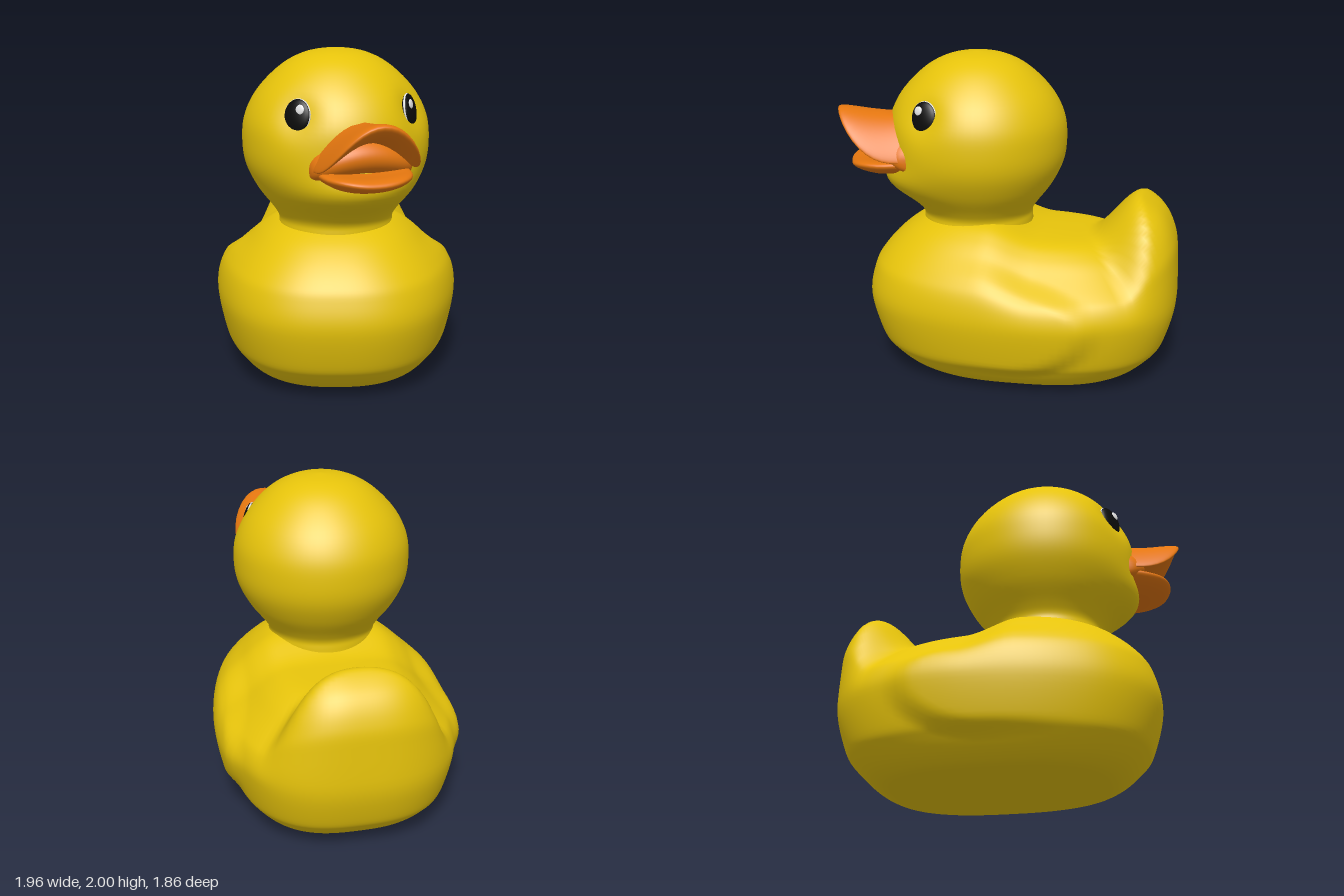
import * as THREE from 'three';
import { mergeVertices } from 'three/addons/utils/BufferGeometryUtils.js';

const material = (name, color) => {
  const m = new THREE.MeshStandardMaterial({ color });
  m.name = name;
  return m;
};
const step = THREE.MathUtils.smoothstep;
const bell = (d, w) => Math.exp(-(d * d) / (w * w));

// Moves every vertex by a rule, then welds and smooths the surface
function sculpt(geometry, rule) {
  const p = geometry.attributes.position;
  const v = new THREE.Vector3();
  for (let i = 0; i < p.count; i++) {
    rule(v.fromBufferAttribute(p, i));
    p.setXYZ(i, v.x, v.y, v.z);
  }
  geometry.deleteAttribute('uv');
  geometry.deleteAttribute('normal');
  const welded = mergeVertices(geometry, 1e-4);
  welded.computeVertexNormals();
  return welded;
}

function lathe(points, steps, sides) {
  const curve = new THREE.SplineCurve(points.map(([r, y]) => new THREE.Vector2(r, y)));
  const profile = curve.getPoints(steps);
  profile.forEach((q) => { q.x = Math.max(0, q.x); });
  return new THREE.LatheGeometry(profile, sides);
}

// Turns a round plan into a fuller, squarer oval
function squareOff(v, n) {
  const r = Math.hypot(v.x, v.z);
  if (r < 1e-6) return;
  const k = (Math.abs(v.x / r) ** n + Math.abs(v.z / r) ** n) ** (-1 / n);
  v.x *= k;
  v.z *= k;
}

// Body: local +x is forward; has tail, hollow back and wings that fade forward
function bodyGeometry() {
  const profile = [[0, 0], [0.3, 0], [0.62, 0.006], [0.76, 0.05], [0.88, 0.15], [0.94, 0.24], [1, 0.47],
    [0.97, 0.64], [0.92, 0.73], [0.82, 0.83], [0.7, 0.91], [0.54, 0.965], [0.3, 0.98], [0, 0.98]];
  return sculpt(lathe(profile, 80, 120), (v) => {
    squareOff(v, v.x < 0 ? 2.75 : 2.5);
    v.x *= 0.98;
    v.z *= 0.72;
    const upper = step(v.y, 0.4, 0.85);
    const rear = step(-v.x - 0.8 * v.z * v.z, 0.42, 0.68);
    const hollow = step(-v.x, -0.2, 0.15) * (1 - rear);
    const tail = rear * Math.exp(-(((v.z - 0.04) / 0.52) ** 4));
    const neck = bell(Math.hypot(v.x - 0.29, v.z), 0.45);
    const reach = Math.hypot(Math.min(0, v.x) / 0.57, (v.y - 0.48) / 0.36);
    const wing = step(1 - reach, 0, 0.3) * (1 - step(v.x, -0.2, 0.6));
    v.z *= 1 - 0.1 * step(v.y, 0.6, 0.95) * (1 - rear);
    v.z += Math.sign(v.z) * 0.045 * wing * step(Math.abs(v.z), 0.3, 0.5);
    v.x -= 0.06 * tail * step(v.y, 0.5, 0.85);
    v.y += upper * (0.22 * tail - 0.09 * hollow + 0.035 * neck);
  });
}

const EYE_ANGLE = 0.76, EYE_Y = 1.665, EYE_R = 0.485;

// Head and neck: local +x is forward; has cheeks and shallow eye sockets
function headGeometry() {
  const profile = [[0.35, 0.88], [0.345, 0.95], [0.345, 1], [0.38, 1.06], [0.47, 1.18], [0.538, 1.32],
    [0.557, 1.46], [0.54, 1.61], [0.462, 1.76], [0.32, 1.9], [0.17, 1.975], [0, 2]];
  return sculpt(lathe(profile, 56, 80), (v) => {
    const r = Math.hypot(v.x, v.z);
    if (r < 1e-6) return;
    const forward = Math.max(0, v.x / r) ** 4;
    let push = 0.085 * forward * bell(v.y - 1.21, 0.12);
    for (const s of [-1, 1]) {
      const d = Math.hypot(v.x - 0.525 * Math.cos(EYE_ANGLE), v.y - EYE_Y, v.z - s * 0.525 * Math.sin(EYE_ANGLE));
      push -= 0.04 * bell(d, 0.13);
    }
    v.x *= 1 + push / r;
    v.z *= 1 + push / r;
  });
}

// Beak half: a rounded plate in plan, bent upward by a lift rule
function beakGeometry(centre, length, width, thickness, lift) {
  return sculpt(new THREE.SphereGeometry(1, 48, 28), (v) => {
    const r = Math.hypot(v.x, v.z);
    const spread = r > 1e-4 ? r ** -0.4 : 1;
    v.x *= spread;
    v.z *= spread;
    squareOff(v, 2.6);
    v.x = centre + v.x * length;
    v.z *= width;
    v.y = v.y * thickness + lift(v.x, v.z / width);
  });
}

// Mouth: an arched mass that fills the beak root and rounds its corners
function mouthGeometry() {
  return sculpt(new THREE.SphereGeometry(1, 48, 36), (v) => {
    const full = Math.max(1e-3, 1 - v.z * v.z) ** -0.2;
    v.set(0.42 + 0.2 * v.x * full, 0.125 * v.y * full + 1.372 + 0.075 * (1 - v.z * v.z), 0.305 * v.z);
  });
}

export function createModel() {
  const yellow = material('yellow', 0xe6c30b);
  const orange = material('orange', 0xe4760f);
  const black = material('black', 0x0b0b0b);
  const white = material('white', 0xf0f0f0);

  const model = new THREE.Group();
  model.name = 'duck';
  const add = (parent, name, geometry, mat) => {
    const mesh = new THREE.Mesh(geometry, mat);
    mesh.name = name;
    parent.add(mesh);
    return mesh;
  };

  // Body points diagonally
  const body = add(model, 'body', bodyGeometry(), yellow);
  body.position.set(-0.04, 0, 0);
  body.rotation.y = -Math.PI / 4;

  // Head is turned a little from the body
  const head = new THREE.Group();
  head.name = 'headGroup';
  head.position.set(0.167, 0, 0.213);
  head.rotation.y = -0.485;
  model.add(head);
  add(head, 'head', headGeometry(), yellow);

  // Open beak with arched upper lip
  add(head, 'upperBeak', beakGeometry(0.52, 0.34, 0.292, 0.054,
    (f, s) => 1.38 + 0.205 * (1 - s * s) + 0.075 * (Math.max(0, f - 0.5) / 0.35) ** 2), orange);
  add(head, 'lowerBeak', beakGeometry(0.47, 0.32, 0.27, 0.05,
    (f, s) => 1.308 + 0.045 * s * s + 0.02 * step(f, 0.6, 0.8)), orange);
  add(head, 'mouth', mouthGeometry(), orange);

  // Eyes with a fine white rim and highlights
  for (const s of [-1, 1]) {
    const eye = new THREE.Group();
    eye.name = s > 0 ? 'rightEye' : 'leftEye';
    eye.rotation.order = 'YXZ';
    eye.rotation.set(-0.2, Math.PI / 2 - s * (EYE_ANGLE + 0.12), 0);
    eye.position.set(EYE_R * Math.cos(EYE_ANGLE), EYE_Y, s * EYE_R * Math.sin(EYE_ANGLE));
    head.add(eye);
    add(eye, 'eyeWhite', new THREE.SphereGeometry(1, 28, 18), white).scale.set(0.088, 0.098, 0.02);
    add(eye, 'pupil', new THREE.SphereGeometry(1, 28, 18), black).scale.set(0.086, 0.096, 0.03);
    const glint = add(eye, 'glint', new THREE.SphereGeometry(1, 16, 10), white);
    glint.scale.set(0.028, 0.028, 0.008);
    glint.position.set(s * 0.028, 0.036, 0.025);
  }
  return model;
}
